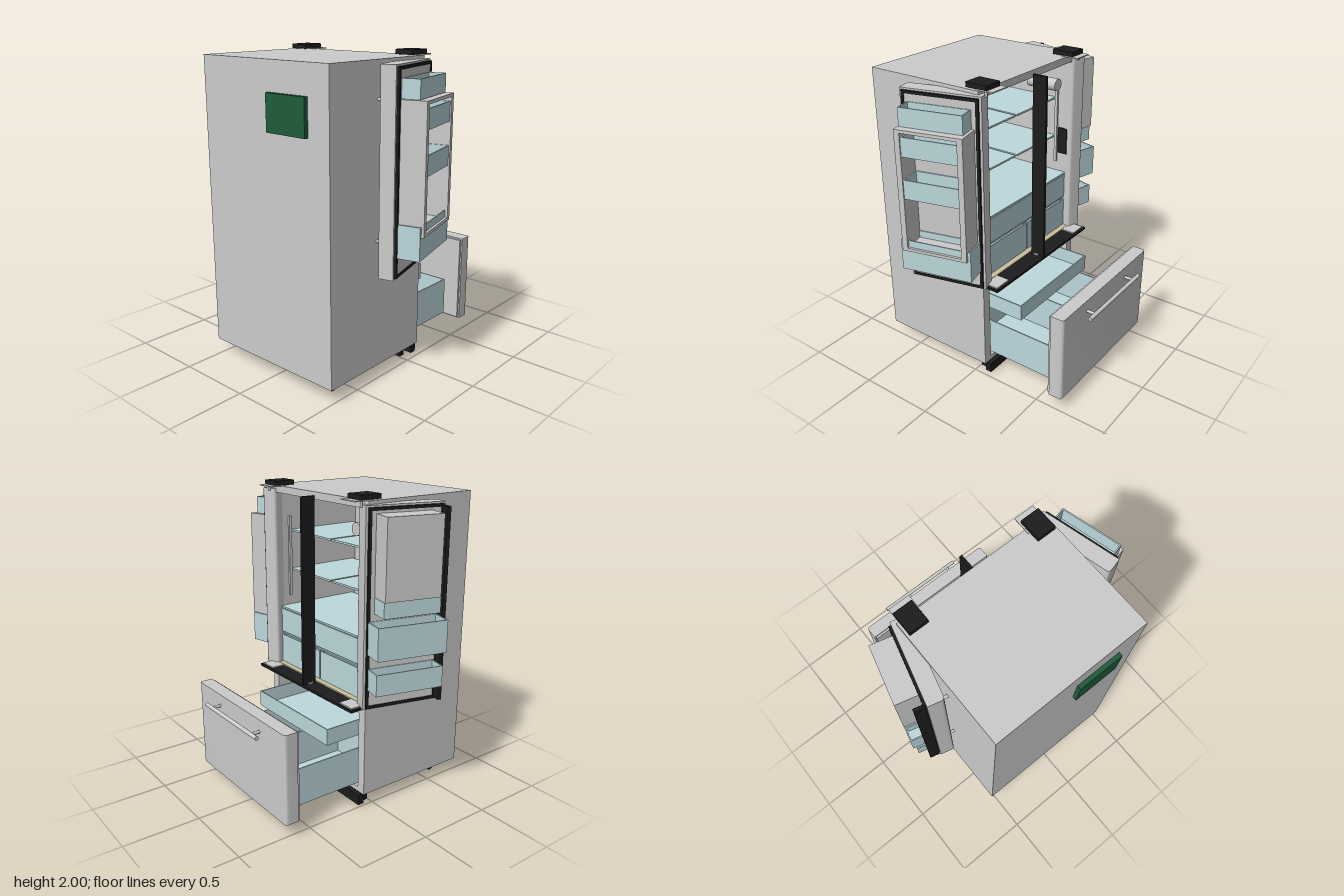
import * as THREE from 'three';
import { toCreasedNormals } from 'three/addons/utils/BufferGeometryUtils.js';

const mat = (color) => new THREE.MeshStandardMaterial({ color });

export function createModel() {
  const grey = mat(0xcccccc), black = mat(0x1c1c1e), green = mat(0x1f5c3a);
  const blue = mat(0xbcd8dc), beige = mat(0xc8bf9c);
  const model = new THREE.Group();
  model.name = 'refrigerator';
  model.position.x = -0.01;

  const group = (parent, name) => {
    const g = new THREE.Group();
    g.name = name;
    parent.add(g);
    return g;
  };
  const mesh = (parent, name, geo, m, x = 0, y = 0, z = 0) => {
    const o = new THREE.Mesh(geo, m);
    o.name = name;
    o.position.set(x, y, z);
    parent.add(o);
    return o;
  };
  // Box given by its lower and upper limits on each axis
  const box = (parent, name, m, x0, x1, y0, y1, z0, z1) =>
    mesh(parent, name, new THREE.BoxGeometry(Math.abs(x1 - x0), y1 - y0, Math.abs(z1 - z0)), m,
      (x0 + x1) / 2, (y0 + y1) / 2, (z0 + z1) / 2);
  // Cylinder along one axis
  const rod = (parent, name, m, r, len, axis, x, y, z) => {
    const geo = new THREE.CylinderGeometry(r, r, len, 20);
    if (axis === 'x') geo.rotateZ(Math.PI / 2);
    if (axis === 'z') geo.rotateX(Math.PI / 2);
    return mesh(parent, name, geo, m, x, y, z);
  };
  // Open-topped bin with thin walls
  const bin = (parent, name, x0, x1, y0, y1, z0, z1, t = 0.008) => {
    const g = group(parent, name);
    if (x0 > x1) [x0, x1] = [x1, x0];
    box(g, 'binFloor', blue, x0, x1, y0, y0 + t, z0, z1);
    for (const x of [x0, x1 - t]) box(g, 'binSide', blue, x, x + t, y0, y1, z0, z1);
    for (const z of [z0, z1 - t]) box(g, 'binEnd', blue, x0 + t, x1 - t, y0, y1, z, z + t);
    return g;
  };
  // Upright slab from z = 0 to -d whose outer vertical edges are rounded
  const slab = (w, h, d, r = 0.022) => {
    const s = new THREE.Shape();
    s.moveTo(-w / 2, 0).lineTo(w / 2, 0).lineTo(w / 2, d - r);
    s.quadraticCurveTo(w / 2, d, w / 2 - r, d);
    s.lineTo(-w / 2 + r, d);
    s.quadraticCurveTo(-w / 2, d, -w / 2, d - r);
    const geo = new THREE.ExtrudeGeometry(s, { depth: h, bevelEnabled: false, curveSegments: 6 });
    return toCreasedNormals(geo.rotateX(-Math.PI / 2), 0.6);
  };
  const rect = (T, x0, x1, y0, y1) =>
    new T().moveTo(x0, y0).lineTo(x1, y0).lineTo(x1, y1).lineTo(x0, y1).closePath();
  // Rectangular ring, extruded along z
  const ring = (x0, x1, y0, y1, tx, ty, depth) => {
    const s = rect(THREE.Shape, x0, x1, y0, y1);
    s.holes.push(rect(THREE.Path, x0 + tx, x1 - tx, y0 + ty, y1 - ty));
    return new THREE.ExtrudeGeometry(s, { depth, bevelEnabled: false });
  };

  // Cabinet shell with the two compartments cut out
  const cabinet = group(model, 'cabinet');
  const outline = rect(THREE.Shape, -0.515, 0.515, 0.098, 1.966);
  outline.holes.push(rect(THREE.Path, -0.455, 0.455, 0.72, 1.92));
  outline.holes.push(rect(THREE.Path, -0.455, 0.455, 0.13, 0.65));
  mesh(cabinet, 'shell', new THREE.ExtrudeGeometry(outline, { depth: 0.693, bevelEnabled: false }), grey, 0, 0, -0.093);
  box(cabinet, 'rearWall', grey, -0.515, 0.515, 0.098, 1.966, 0.6, 0.735);
  box(cabinet, 'servicePanel', green, 0.053, 0.357, 1.56, 1.785, 0.735, 0.762);
  box(cabinet, 'compartmentSill', beige, -0.455, 0.455, 0.716, 0.724, -0.096, 0.1);

  // Crossed seals in front of the cabinet
  box(cabinet, 'horizontalSeal', black, -0.515, 0.515, 0.698, 0.714, -0.204, -0.093);
  box(cabinet, 'centrePost', black, -0.009, 0.009, 0.7, 1.945, -0.2, -0.103);
  for (const s of [-1, 1]) {
    box(cabinet, 'sealClip', grey, s * 0.009, s * 0.018, 0.714, 0.724, -0.16, -0.125);
    // Hinges
    box(cabinet, 'hingeCover', black, s * 0.376, s * 0.5, 1.97, 2.0, -0.137, 0.01);
    box(cabinet, 'topHingePlate', grey, s * 0.366, s * 0.5, 1.964, 1.971, -0.18, -0.062);
    box(cabinet, 'bottomHingePlate', grey, s * 0.38, s * 0.5, 0.714, 0.722, -0.19, -0.09);
    rod(cabinet, 'hingePin', grey, 0.008, 0.05, 'y', s * 0.48, 1.955, -0.12);
    // Feet and rear wheels
    box(cabinet, 'foot', black, s * 0.4, s * 0.445, 0.004, 0.098, -0.042, -0.006);
    rod(cabinet, 'rearWheel', black, 0.031, 0.04, 'x', s * 0.39, 0.034, 0.606);
    box(cabinet, 'wheelBracket', black, s * 0.375, s * 0.405, 0.05, 0.1, 0.585, 0.627);
    // Inner side strips
    box(cabinet, 'lightStrip', grey, s * 0.44, s * 0.456, 1.2, 1.75, 0.01, 0.03);
  }
  box(cabinet, 'kickPlate', black, -0.49, 0.485, 0.018, 0.087, -0.115, -0.072);
  rod(cabinet, 'waterFilter', grey, 0.04, 0.22, 'z', -0.35, 1.78, 0.06);
  box(cabinet, 'controlPanel', black, -0.456, -0.44, 1.27, 1.45, -0.07, 0.0);

  // Shelves and crispers
  const interior = group(model, 'interior');
  for (const s of [-1, 1]) {
    for (const y of [1.39, 1.66])
      box(interior, 'glassShelf', blue, s * 0.008, s * 0.45, y - 0.012, y, 0.03, 0.57);
    bin(interior, 'crisper', s * 0.006, s * 0.445, 0.726, 0.925, -0.06, 0.5);
  }
  box(interior, 'crisperCover', blue, -0.45, 0.45, 0.93, 0.94, -0.05, 0.57);
  bin(interior, 'wideDrawer', -0.445, 0.445, 0.95, 1.115, -0.06, 0.5);
  box(interior, 'lowerGlassShelf', blue, -0.45, 0.45, 1.12, 1.132, -0.06, 0.57);

  // Pulled-out freezer drawer
  const drawer = group(model, 'freezerDrawer');
  mesh(drawer, 'drawerFront', slab(1.03, 0.592, 0.09), grey, 0, 0.098, -0.598);
  box(drawer, 'drawerSeal', grey, -0.505, 0.505, 0.108, 0.68, -0.6, -0.583);
  rod(drawer, 'drawerHandle', grey, 0.013, 0.617, 'x', 0, 0.611, -0.748);
  for (const s of [-1, 1]) {
    rod(drawer, 'handlePost', grey, 0.01, 0.07, 'z', s * 0.24, 0.611, -0.718);
    rod(drawer, 'drawerRoller', grey, 0.024, 0.02, 'x', s * 0.395, 0.144, -0.512);
  }
  bin(drawer, 'freezerBasket', -0.425, 0.425, 0.138, 0.389, -0.535, 0.1);
  box(drawer, 'basketDivider', blue, -0.004, 0.004, 0.142, 0.385, -0.53, 0.095);
  bin(drawer, 'upperTray', -0.39, 0.39, 0.458, 0.566, -0.292, 0.25);

  // Open doors; local x runs from the hinge, -z points to the inner face
  const makeDoor = (s, name) => {
    const d = group(model, name);
    d.position.set(s * 0.534, 0, -0.13);
    d.rotation.y = -s * 1.318;
    const panel = mesh(d, 'doorPanel', slab(0.51, 1.239, 0.1), grey, s * 0.255, 0.706, 0);
    panel.rotation.y = Math.PI;
    mesh(d, 'doorSeal', ring(-0.24, 0.24, 0.717, 1.934, 0.018, 0.018, 0.015), black, s * 0.255, 0, -0.015);
    box(d, 'doorLiner', grey, s * 0.034, s * 0.476, 0.736, 1.915, -0.012, 0);
    rod(d, 'doorHandle', grey, 0.013, 0.97, 'y', s * 0.443, 1.327, 0.155);
    for (const y of [0.91, 1.745]) rod(d, 'handlePost', grey, 0.01, 0.06, 'z', s * 0.443, y, 0.126);
    return d;
  };

  // Left door: projecting frame with bins
  const left = makeDoor(1, 'leftDoor');
  mesh(left, 'binFrame', ring(0.043, 0.469, 0.98, 1.755, 0.035, 0.02, 0.158), grey, 0, 0, -0.168);
  bin(left, 'topBin', 0.06, 0.46, 1.757, 1.87, -0.122, -0.01);
  bin(left, 'middleBin', 0.078, 0.434, 1.59, 1.71, -0.16, -0.012);
  bin(left, 'middleBin', 0.078, 0.434, 1.325, 1.447, -0.16, -0.012);
  bin(left, 'bottomBin', 0.025, 0.487, 0.84, 1.045, -0.152, -0.01);

  // Right door: ice box, bins and flip seal
  const right = makeDoor(-1, 'rightDoor');
  box(right, 'iceBox', grey, -0.06, -0.42, 1.415, 1.9, -0.15, -0.01);
  bin(right, 'iceBin', -0.06, -0.43, 1.315, 1.413, -0.136, -0.01);
  bin(right, 'middleBin', -0.02, -0.478, 1.065, 1.27, -0.15, -0.01);
  bin(right, 'bottomBin', -0.025, -0.47, 0.84, 0.975, -0.13, -0.01);
  box(right, 'flipSeal', black, -0.482, -0.506, 0.725, 1.925, -0.072, -0.004);

  const root = new THREE.Group();
  root.name = 'model';
  root.add(model);
  return root;
}
